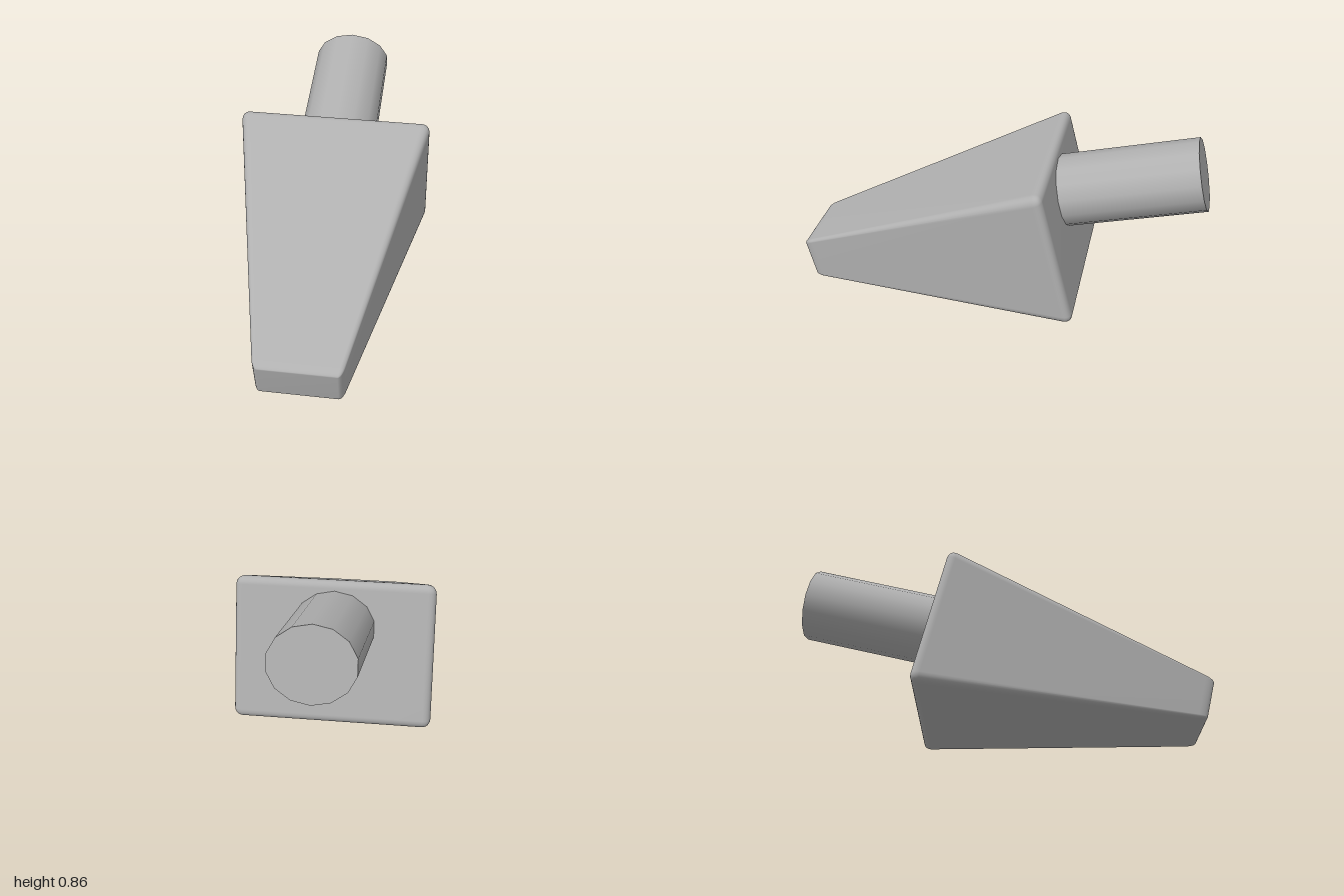
import * as THREE from 'three';
import { mergeVertices } from 'three/addons/utils/BufferGeometryUtils.js';
import { RoundedBoxGeometry } from 'three/addons/geometries/RoundedBoxGeometry.js';

// Rounded box warped into a wedge: its side profile is given by four [z, y] corners
function wedgeGeometry() {
  const W = 0.96, H = 0.7, L = 1.36, lerp = THREE.MathUtils.lerp;
  const frontTop = [1.003, 0.2], frontBottom = [0.953, 0];
  const backTop = [-0.25, 0.762], backBottom = [-0.422, 0.08];
  let geo = new RoundedBoxGeometry(W, H, L, 3, 0.045);
  geo.deleteAttribute('normal');
  geo.deleteAttribute('uv');
  geo = mergeVertices(geo, 1e-4);
  const p = geo.attributes.position;
  for (let i = 0; i < p.count; i++) {
    const t = p.getZ(i) / L + 0.5;   // 0 at the back, 1 at the tip
    const s = p.getY(i) / H + 0.5;   // 0 at the bottom, 1 at the top
    const at = k => lerp(lerp(backBottom[k], backTop[k], s), lerp(frontBottom[k], frontTop[k], s), t);
    p.setXYZ(i, p.getX(i) / W * 2 * lerp(0.481, 0.198, t), at(1), at(0));
  }
  geo.computeVertexNormals();
  return geo;
}

export function createModel() {
  const group = new THREE.Group();
  const grey = new THREE.MeshStandardMaterial({ color: 0xb0b0b0 });
  grey.name = 'grey';

  // Tapered body
  const body = new THREE.Mesh(wedgeGeometry(), grey);
  body.name = 'body';
  group.add(body);

  // Slightly flattened stem, sunk into the tilted back face
  const length = 0.8, tilt = 1.337;
  const stem = new THREE.Mesh(new THREE.CylinderGeometry(0.195, 0.195, length, 14), grey);
  stem.name = 'stem';
  stem.scale.z = 0.172 / 0.195;
  stem.rotation.x = -tilt;
  stem.position.set(0, 0.698 - Math.cos(tilt) * length / 2, -0.96 + Math.sin(tilt) * length / 2);
  group.add(stem);

  return group;
}
